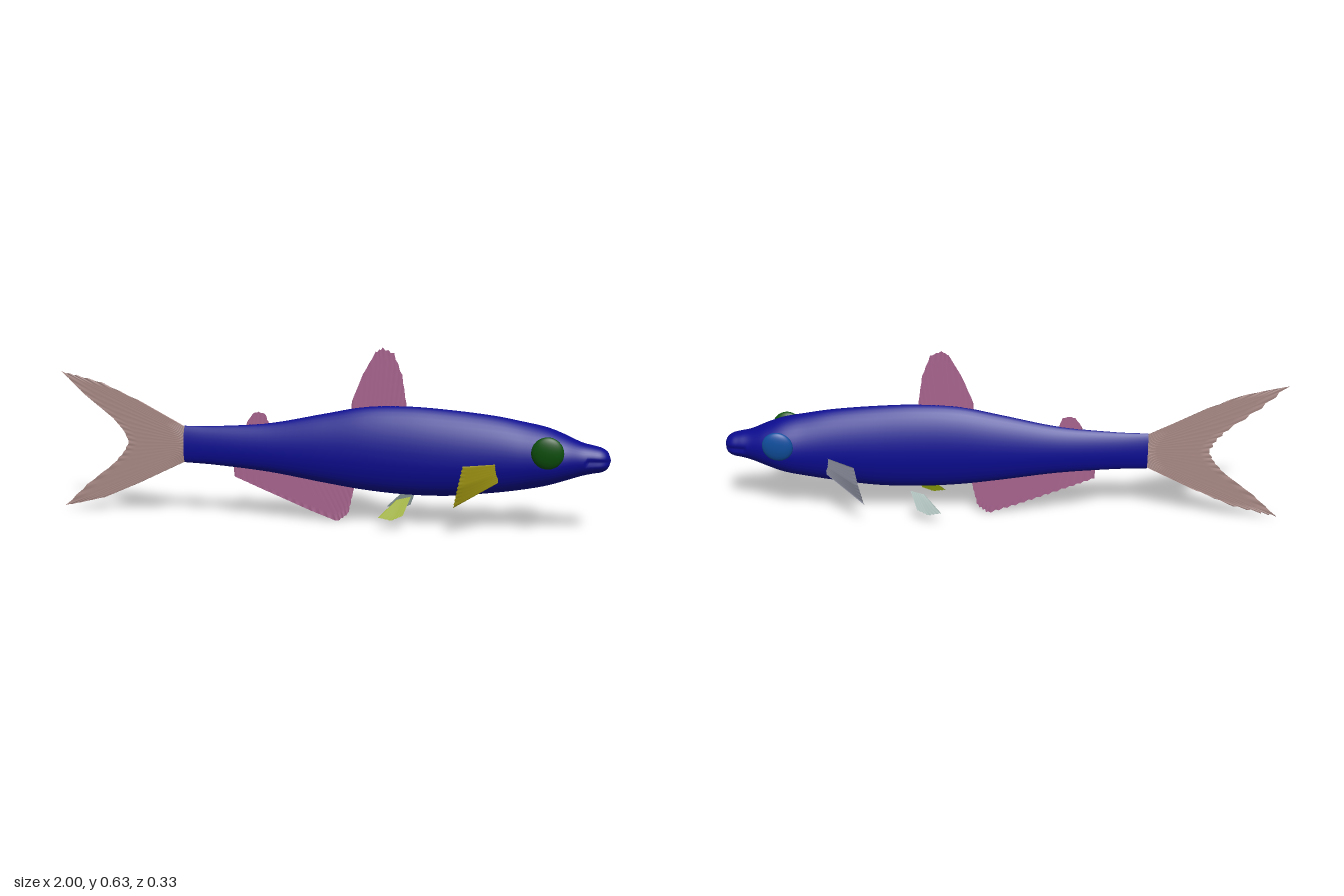
import * as THREE from 'three';

const V = (p) => new THREE.Vector3(p[0], p[1], p[2] || 0);

function addMesh(group, name, geometry, color, side = THREE.FrontSide) {
  const mesh = new THREE.Mesh(geometry, new THREE.MeshStandardMaterial({ color, side }));
  mesh.name = name;
  group.add(mesh);
  return mesh;
}

// Indexed surface over a grid of points; columns may wrap round
function gridGeometry(rows, wrap) {
  const n = rows[0].length, pos = [], index = [];
  rows.forEach((row) => row.forEach((p) => pos.push(p.x, p.y, p.z)));
  for (let i = 0; i < rows.length - 1; i++) {
    for (let j = 0; j < (wrap ? n : n - 1); j++) {
      const k = (j + 1) % n;
      const a = i * n + j, b = i * n + k, c = (i + 1) * n + j, d = (i + 1) * n + k;
      index.push(a, b, c, b, d, c);
    }
  }
  const g = new THREE.BufferGeometry();
  g.setAttribute('position', new THREE.Float32BufferAttribute(pos, 3));
  g.setIndex(index);
  g.computeVertexNormals();
  return g;
}

// Body stations: x, bottom, top, half width
const STATIONS = [
  [-0.52, 0.20, 0.335, 0.02], [-0.40, 0.195, 0.338, 0.027], [-0.20, 0.178, 0.355, 0.041],
  [0.0, 0.148, 0.395, 0.057], [0.15, 0.128, 0.424, 0.067], [0.30, 0.118, 0.43, 0.073],
  [0.45, 0.12, 0.422, 0.077], [0.60, 0.137, 0.407, 0.08], [0.70, 0.153, 0.39, 0.084],
  [0.78, 0.17, 0.374, 0.088], [0.84, 0.188, 0.352, 0.077], [0.90, 0.208, 0.325, 0.056],
  [0.94, 0.218, 0.315, 0.047], [0.97, 0.224, 0.307, 0.041], [0.99, 0.238, 0.292, 0.027],
  [1.0, 0.265, 0.265, 0],
];

function bodyGeometry() {
  const heights = new THREE.CatmullRomCurve3(STATIONS.map((s) => V(s)), false, 'catmullrom');
  const widths = new THREE.CatmullRomCurve3(STATIONS.map((s) => V([s[0], s[3]])), false, 'catmullrom');
  const rows = [], steps = 90, sides = 40;
  for (let i = 0; i <= steps; i++) {
    const h = heights.getPoint(i / steps), w = Math.max(0, widths.getPoint(i / steps).y);
    const nose = THREE.MathUtils.smoothstep(h.x, 0.75, 0.95);
    const mid = h.y + (h.z - h.y) * (0.42 + 0.08 * nose);
    const row = [];
    for (let j = 0; j < sides; j++) {
      const a = (j / sides) * Math.PI * 2, c = Math.cos(a), s = Math.sin(a);
      // Narrow ridged back, full rounded belly
      const power = c > 0 ? 1.3 - 0.3 * nose : 0.8 + 0.2 * nose;
      let z = w * Math.sign(s) * Math.pow(Math.abs(s), power);
      const y = mid + c * (c > 0 ? h.z - mid : mid - h.y);
      // Mouth crease
      if (h.x > 0.92) z *= 1 - 0.16 * Math.exp(-(((y - 0.262) / 0.007) ** 2));
      row.push(new THREE.Vector3(h.x, y, z));
    }
    rows.push(row);
  }
  return gridGeometry(rows, true);
}

// Pleated fin: rays run from a base line to points along an outer edge
function finGeometry(base, edge, rays, pleat) {
  const [b0, b1] = base.map(V), tips = edge.map(V), rows = [], steps = 6;
  for (let i = 0; i <= rays * 2; i++) {
    const t = i / (rays * 2), f = t * (tips.length - 1);
    const k = Math.min(Math.floor(f), tips.length - 2);
    const root = b0.clone().lerp(b1, t), tip = tips[k].clone().lerp(tips[k + 1], f - k);
    // Slightly scalloped outer edge
    if (i % 2) tip.lerp(root, 0.025);
    const row = [];
    for (let j = 0; j <= steps; j++) {
      const p = root.clone().lerp(tip, j / steps);
      p.z += (i % 2 ? 1 : -1) * pleat * (0.3 + 0.7 * j / steps);
      row.push(p);
    }
    rows.push(row);
  }
  return gridGeometry(rows, false);
}

export function createModel() {
  const fish = new THREE.Group();
  fish.name = 'fish';
  const BLUE = 0x0b0b8f;

  addMesh(fish, 'body', bodyGeometry(), BLUE);

  // Flat end of the body where the tail joins
  const stump = addMesh(fish, 'tailStump', new THREE.CircleGeometry(1, 32), BLUE);
  stump.scale.set(0.019, 0.066, 1);
  stump.rotation.y = -Math.PI / 2;
  stump.position.set(-0.52, 0.267, 0);

  // Fins on the centre line
  const upperTail = [[-0.70, 0.425], [-0.84, 0.487], [-0.94, 0.512], [-1, 0.525],
    [-0.91, 0.44], [-0.80, 0.355], [-0.76, 0.31]];
  const lowerTail = upperTail.map(([x, y]) => [x, 0.54 - y]).reverse();
  const centreFins = [
    ['tailFin', [[-0.515, 0.33], [-0.515, 0.205]], [...upperTail, [-0.74, 0.268], ...lowerTail], 28, 0xa98a86],
    ['dorsalFin', [[0.10, 0.40], [0.295, 0.415]],
      [[0.10, 0.44], [0.14, 0.54], [0.185, 0.62], [0.21, 0.635], [0.25, 0.617], [0.28, 0.54], [0.295, 0.44]], 12, 0xa8648e],
    ['adiposeFin', [[-0.29, 0.33], [-0.20, 0.345]],
      [[-0.285, 0.355], [-0.26, 0.39], [-0.24, 0.395], [-0.215, 0.388], [-0.205, 0.36]], 6, 0xa8648e],
    ['analFin', [[-0.335, 0.20], [0.11, 0.15]],
      [[-0.335, 0.155], [-0.25, 0.12], [-0.15, 0.08], [-0.05, 0.04], [0.05, 0.004], [0.09, 0.035], [0.11, 0.13]], 20, 0xa8648e],
  ];
  for (const [name, base, edge, rays, color] of centreFins) {
    addMesh(fish, name, finGeometry(base, edge, rays, 0.004), color, THREE.DoubleSide);
  }

  // Paired fins and eyes
  for (const [side, s] of [['left', 1], ['right', -1]]) {
    const mirror = (pts) => pts.map(([x, y, z]) => [x, y, z * s]);
    const near = s > 0;
    addMesh(fish, side + 'PectoralFin', finGeometry(
      mirror([[0.625, 0.25, 0.073], [0.625, 0.185, 0.073]]),
      mirror([[0.51, 0.252, 0.155], [0.495, 0.18, 0.163], [0.48, 0.107, 0.153]]), 10, 0.002),
    near ? 0x9a9010 : 0x9598a8, THREE.DoubleSide);
    addMesh(fish, side + 'PelvicFin', finGeometry(
      mirror([[0.275, 0.11, 0.07], [0.325, 0.123, 0.068]]),
      mirror([[0.213, 0.048, 0.095], [0.26, 0.04, 0.098], [0.30, 0.058, 0.093]]), 7, 0.001),
    near ? 0x9cb010 : 0xa0b4b0, THREE.DoubleSide);

    const eye = addMesh(fish, side + 'Eye', new THREE.SphereGeometry(1, 32, 20), near ? 0x0d500d : 0x1050a0);
    eye.scale.set(0.055, 0.056, 0.02);
    eye.position.set(0.79, 0.297, 0.091 * s);
    eye.rotation.x = 0.1 * s;
  }
  return fish;
}
